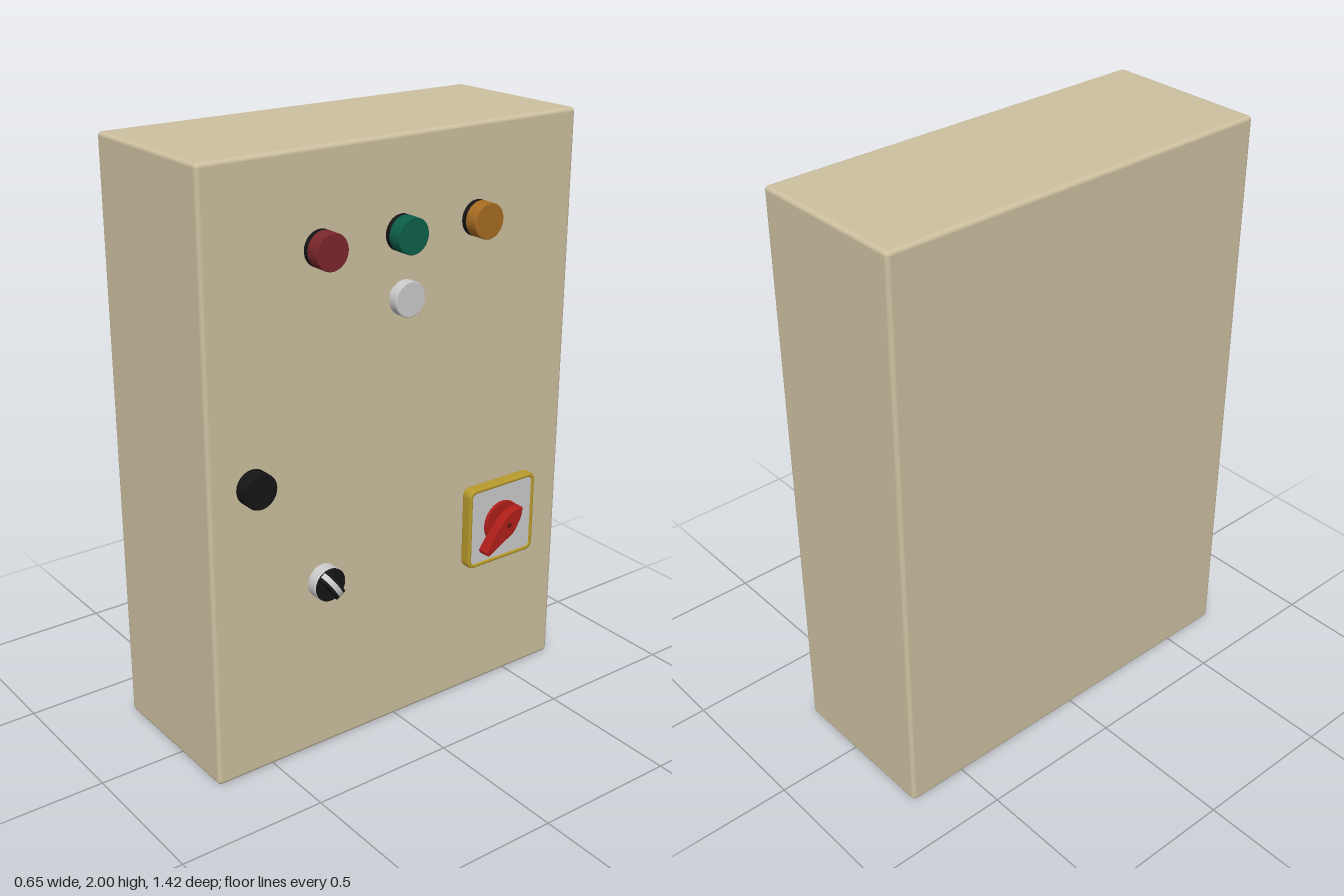
import * as THREE from 'three';
import { RoundedBoxGeometry } from 'three/addons/geometries/RoundedBoxGeometry.js';

const mat = (color) => new THREE.MeshStandardMaterial({ color });
const GREY = mat(0xcccccc), BLACK = mat(0x151515), BEIGE = mat(0xcdc0a0);
const RED = mat(0xb01f1a), YELLOW = mat(0xb89a2c);

function add(parent, name, geometry, material, x = 0, y = 0, z = 0) {
  const mesh = new THREE.Mesh(geometry, material);
  mesh.name = name;
  mesh.position.set(x, y, z);
  parent.add(mesh);
  return mesh;
}

function subgroup(parent, name, x, y) {
  const g = new THREE.Group();
  g.name = name;
  g.position.set(x, y, 0);
  parent.add(g);
  return g;
}

// Disc standing out from the door between depths z0 and z1, with a tiny edge chamfer
function disc(r, z0, z1) {
  const c = 0.002;
  const pts = [[0, z0], [r, z0], [r, z0], [r, z1 - c], [r, z1 - c], [r - c, z1], [r - c, z1], [0, z1]]
    .map(([a, b]) => new THREE.Vector2(a, b));
  return new THREE.LatheGeometry(pts, 40).rotateX(Math.PI / 2);
}

function roundedSquare(half, r, PathType = THREE.Shape) {
  const p = new PathType(), k = half - r;
  p.absarc(k, k, r, 0, Math.PI / 2);
  p.absarc(-k, k, r, Math.PI / 2, Math.PI);
  p.absarc(-k, -k, r, Math.PI, Math.PI * 1.5);
  p.absarc(k, -k, r, Math.PI * 1.5, Math.PI * 2);
  p.closePath();
  return p;
}

// Half-ellipse grip lying along x, rising in z, with its thickness along y
function grip(halfLength, height, thickness) {
  const s = new THREE.Shape();
  s.absellipse(0, 0, halfLength, height, 0, Math.PI);
  s.closePath();
  return new THREE.ExtrudeGeometry(s, { depth: thickness, bevelEnabled: false, curveSegments: 20 })
    .translate(0, 0, -thickness / 2).rotateX(Math.PI / 2);
}

export function createModel() {
  const model = new THREE.Group();
  model.name = 'controlCabinet';
  add(model, 'cabinet', new RoundedBoxGeometry(0.565, 2, 1.42, 3, 0.014), BEIGE, -0.0425, 1, 0);

  // Door controls: local x runs across the door, local z points out of it
  const door = subgroup(model, 'doorControls', 0.24, 0);
  door.rotation.y = Math.PI / 2;

  // Indicator lamps
  [['redLamp', -0.3, 0x7c272c], ['greenLamp', 0, 0x0d604a], ['amberLamp', 0.3, 0xa86c22]].forEach(([name, x, color]) => {
    const lamp = subgroup(door, name, x, 1.7);
    add(lamp, 'lampBase', disc(0.058, -0.005, 0.018), BLACK);
    add(lamp, 'lampLens', disc(0.058, 0.018, 0.064), mat(color));
  });

  // Push button
  const button = subgroup(door, 'pushButton', 0, 1.5);
  add(button, 'buttonNeck', disc(0.043, -0.005, 0.02), GREY);
  add(button, 'buttonCap', disc(0.057, 0.019, 0.053), GREY);

  // Door lock
  add(door, 'doorLock', disc(0.058, -0.005, 0.048), BLACK, -0.555, 1.005);

  // Selector switch with a pointer strip along its grip
  const selector = subgroup(door, 'selectorSwitch', -0.3, 0.612);
  selector.rotation.z = -0.96;
  add(selector, 'selectorCollar', disc(0.058, -0.005, 0.04), GREY);
  add(selector, 'selectorFace', disc(0.056, 0.04, 0.045), BLACK);
  add(selector, 'selectorGrip', grip(0.054, 0.034, 0.036), BLACK, 0, 0, 0.044);
  add(selector, 'selectorPointer', grip(0.055, 0.036, 0.018), GREY, 0, 0, 0.044);

  // Main switch: frame, inset plate, dial and teardrop handle
  const main = subgroup(door, 'mainSwitch', 0.424, 0.627);
  const frame = roundedSquare(0.14, 0.02);
  frame.holes.push(roundedSquare(0.137, 0.02, THREE.Path));
  const bevel = { bevelSize: 0.006, bevelThickness: 0.006, bevelSegments: 2, curveSegments: 6 };
  add(main, 'switchFrame', new THREE.ExtrudeGeometry(frame, { depth: 0.029, ...bevel }), YELLOW, 0, 0, 0.005);
  add(main, 'switchPlate', new THREE.ExtrudeGeometry(roundedSquare(0.136, 0.018),
    { depth: 0.036, bevelEnabled: false, curveSegments: 6 }), GREY);
  add(main, 'switchDial', disc(0.077, 0.03, 0.046), RED, 0, -0.002);

  const handle = new THREE.Shape();
  handle.moveTo(-0.125, 0.012);
  handle.quadraticCurveTo(-0.137, 0, -0.125, -0.012);
  handle.bezierCurveTo(-0.07, -0.022, -0.05, -0.034, 0, -0.034);
  handle.bezierCurveTo(0.04, -0.034, 0.06, -0.018, 0.078, 0);
  handle.bezierCurveTo(0.06, 0.018, 0.04, 0.034, 0, 0.034);
  handle.bezierCurveTo(-0.05, 0.034, -0.07, 0.022, -0.125, 0.012);
  const lever = add(main, 'switchHandle', new THREE.ExtrudeGeometry(handle,
    { depth: 0.032, bevelThickness: 0.004, bevelSize: 0.003, bevelOffset: -0.003, bevelSegments: 2, curveSegments: 10 }),
    RED, 0, -0.002, 0.044);
  lever.rotation.z = 0.73;
  add(main, 'handleScrew', disc(0.01, 0.07, 0.081), mat(0x5c1512), 0, -0.002);

  return model;
}
